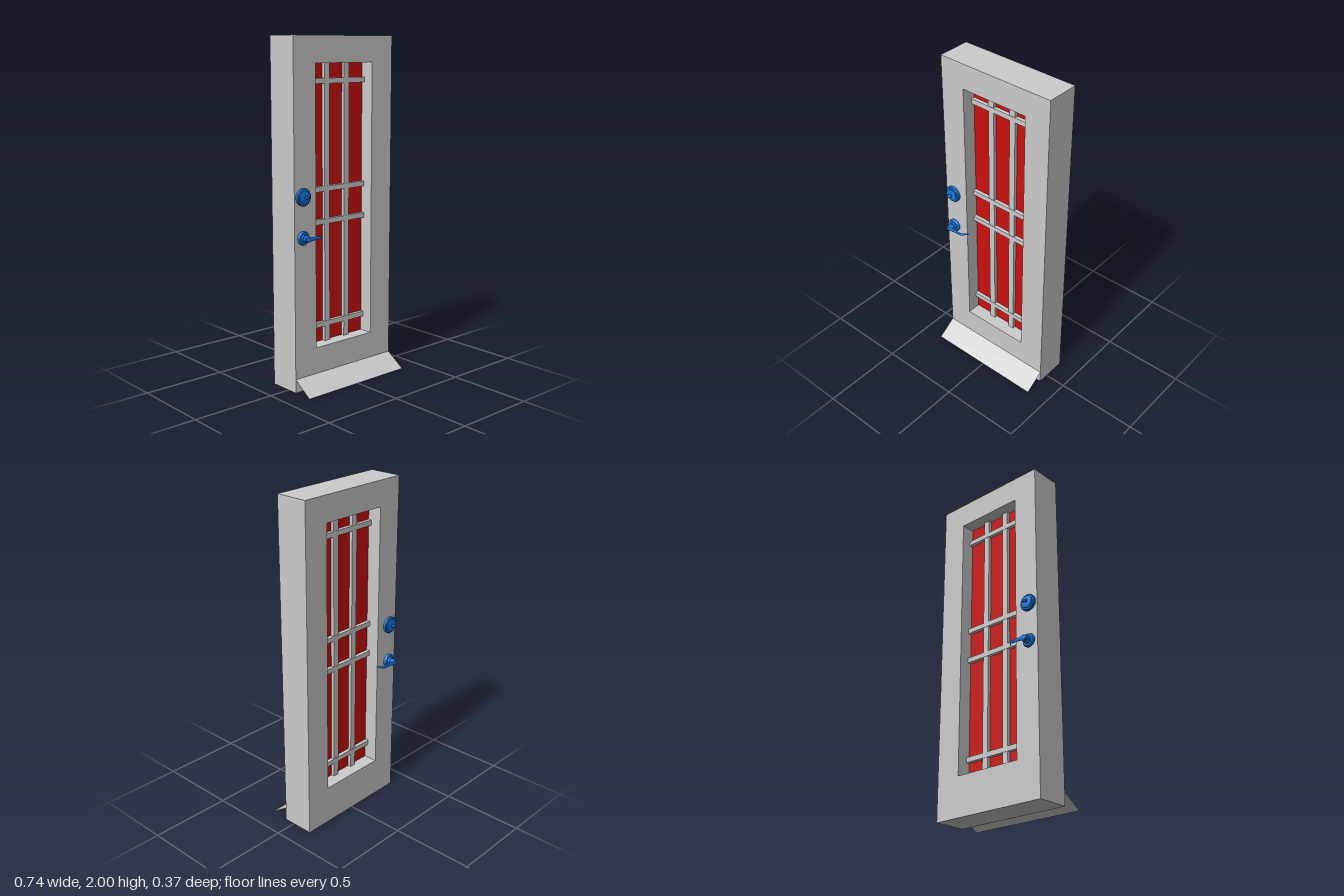
import * as THREE from 'three';

const grey = new THREE.MeshStandardMaterial({ color: 0xcccccc });
const greyThin = new THREE.MeshStandardMaterial({ color: 0xcccccc, side: THREE.DoubleSide });
const red = new THREE.MeshStandardMaterial({ color: 0xcc1010 });
const blue = new THREE.MeshStandardMaterial({ color: 0x1478e0 });

const W = 0.37, H = 2, FRONT = 0.066, BACK = -0.133;
const MID = (FRONT + BACK) / 2, HALF = (FRONT - BACK) / 2;
const OPEN = { x0: -0.215, x1: 0.212, y0: 0.235, y1: 1.85 };

function add(parent, name, geometry, material, x = 0, y = 0, z = 0) {
  const mesh = new THREE.Mesh(geometry, material);
  mesh.name = name;
  mesh.position.set(x, y, z);
  parent.add(mesh);
  return mesh;
}

function box(parent, name, material, x0, x1, y0, y1, halfDepth) {
  return add(parent, name, new THREE.BoxGeometry(x1 - x0, y1 - y0, halfDepth * 2), material,
    (x0 + x1) / 2, (y0 + y1) / 2, MID);
}

// Stepped round profile [radius, height], turned so that it grows along +z
function turned(profile) {
  const points = [];
  profile.forEach(([r, h], i) => {
    points.push(new THREE.Vector2(r, h));
    // doubled points keep the steps crisp
    if (i > 0 && i < profile.length - 1) points.push(new THREE.Vector2(r, h));
  });
  return new THREE.LatheGeometry(points, 28).rotateX(Math.PI / 2);
}

// Lever: rectangular-ish rounded sections [x, z, half height, half thickness] joined in a loop
function leverGeometry() {
  const sections = [
    [-0.018, 0.049, 0.014, 0.006], [0.01, 0.051, 0.014, 0.005], [0.04, 0.051, 0.010, 0.005],
    [0.088, 0.0505, 0.008, 0.004], [0.098, 0.045, 0.007, 0.004], [0.122, 0.019, 0.005, 0.0015],
  ];
  const N = 10, pos = [], index = [];
  sections.forEach(([x, z, hy, hz]) => {
    for (let j = 0; j < N; j++) {
      const a = (j / N) * Math.PI * 2;
      pos.push(x, hy * Math.sin(a), z + hz * Math.cos(a));
    }
  });
  const last = sections.length - 1;
  for (let i = 0; i < last; i++) {
    for (let j = 0; j < N; j++) {
      const a = i * N + j, b = i * N + (j + 1) % N;
      index.push(a, a + N, b, b, a + N, b + N);
    }
  }
  for (let j = 1; j < N - 1; j++) {
    index.push(0, j, j + 1);
    index.push(last * N, last * N + j + 1, last * N + j);
  }
  // sections run from +z towards +y, so reverse to face outward
  for (let k = 0; k < index.length; k += 3) [index[k + 1], index[k + 2]] = [index[k + 2], index[k + 1]];
  const g = new THREE.BufferGeometry();
  g.setAttribute('position', new THREE.Float32BufferAttribute(pos, 3));
  g.setIndex(index);
  // orient by signed volume
  let volume = 0;
  const p = new THREE.Vector3(), q = new THREE.Vector3(), r = new THREE.Vector3();
  for (let k = 0; k < index.length; k += 3) {
    [p, q, r].forEach((v, n) => v.fromArray(pos, index[k + n] * 3));
    volume += p.dot(q.cross(r));
  }
  if (volume < 0) {
    for (let k = 0; k < index.length; k += 3) [index[k + 1], index[k + 2]] = [index[k + 2], index[k + 1]];
    g.setIndex(index);
  }
  g.computeVertexNormals();
  return g;
}

function createHardware(name) {
  const hardware = new THREE.Group();
  hardware.name = name;

  // Lock with a stepped plate and a small thumb turn
  const lock = new THREE.Group();
  lock.name = 'lock';
  lock.position.set(-0.312, 1.123, 0);
  add(lock, 'lockPlate', turned([[0, 0], [0.049, 0], [0.049, 0.014], [0.046, 0.018],
    [0.037, 0.018], [0.037, 0.025], [0.021, 0.027], [0, 0.027]]), blue);
  add(lock, 'thumbStem', new THREE.CylinderGeometry(0.005, 0.007, 0.014, 12).rotateX(Math.PI / 2), blue, 0, 0, 0.032);
  add(lock, 'thumbTurn', new THREE.SphereGeometry(1, 18, 10).scale(0.019, 0.007, 0.007), blue, 0, 0, 0.042);
  hardware.add(lock);

  // Handle with a rosette, a neck and a bent lever
  const handle = new THREE.Group();
  handle.name = 'handle';
  handle.position.set(-0.312, 0.892, 0);
  add(handle, 'rosette', turned([[0, 0], [0.039, 0], [0.039, 0.010], [0.035, 0.016],
    [0.024, 0.016], [0.022, 0.027], [0, 0.027]]), blue);
  add(handle, 'neck', turned([[0, 0.02], [0.016, 0.02], [0.018, 0.034], [0.019, 0.044],
    [0.016, 0.055], [0, 0.055]]), blue);
  add(handle, 'lever', leverGeometry(), blue);
  hardware.add(handle);
  return hardware;
}

export function createModel() {
  const door = new THREE.Group();
  door.name = 'door';

  // Slab with the window opening
  const outline = new THREE.Shape([[-W, 0], [W, 0], [W, H], [-W, H]].map(([x, y]) => new THREE.Vector2(x, y)));
  const { x0, x1, y0, y1 } = OPEN;
  outline.holes.push(new THREE.Path([[x0, y0], [x0, y1], [x1, y1], [x1, y0]].map(([x, y]) => new THREE.Vector2(x, y))));
  add(door, 'doorSlab', new THREE.ExtrudeGeometry(outline, { depth: HALF * 2, bevelEnabled: false }), grey, 0, 0, BACK);

  // Window pane and its bars
  box(door, 'windowPane', red, x0, x1, y0, y1, 0.015);
  for (const x of [-0.076, 0.073]) box(door, 'uprightBar', grey, x - 0.019, x + 0.019, y0, y1, 0.035);
  for (const y of [0.34, 0.95, 1.14, 1.75]) box(door, 'crossBar', grey, x0, x1, y - 0.015, y + 0.015, 0.037);

  // Thin sloping rain flap along the foot of the front
  const drop = 0.08, reach = 0.185 - FRONT;
  const flap = add(door, 'rainFlap', new THREE.PlaneGeometry(W * 2, Math.hypot(drop, reach)), greyThin,
    0, drop / 2, FRONT + reach / 2);
  flap.rotation.x = -Math.atan2(reach, drop);

  // Lock and handle on both faces
  const front = createHardware('frontHardware');
  front.position.z = FRONT;
  const back = createHardware('backHardware');
  back.position.z = BACK;
  back.scale.z = -1;
  door.add(front, back);
  return door;
}
